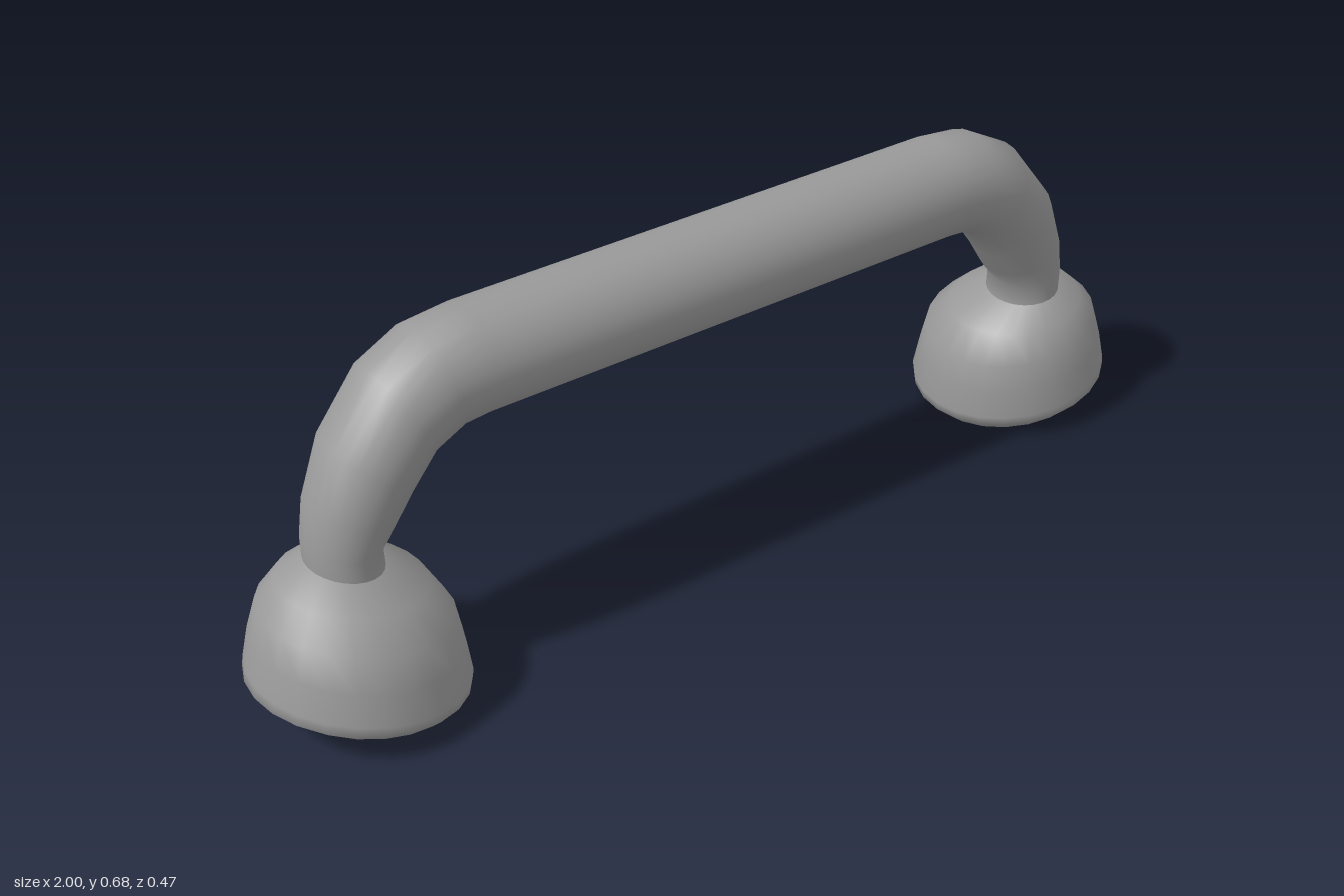
import * as THREE from 'three';

const SIDES = 24;

// Lofts elliptical rings: [outerX, outerY, innerX, innerY, halfDepth, zOffset]
function loft(sections) {
  const positions = [], index = [];
  for (const [xo, yo, xi, yi, depth, z] of sections) {
    for (let i = 0; i < SIDES; i++) {
      const a = (i / SIDES) * Math.PI * 2, c = Math.cos(a) / 2;
      positions.push((xo + xi) / 2 + (xo - xi) * c, (yo + yi) / 2 + (yo - yi) * c, z + depth * Math.sin(a));
    }
  }
  for (let j = 0; j < sections.length - 1; j++) {
    for (let i = 0; i < SIDES; i++) {
      const k = (i + 1) % SIDES;
      const p = j * SIDES + i, q = j * SIDES + k;
      index.push(p, q, p + SIDES, q, q + SIDES, p + SIDES);
    }
  }
  const geometry = new THREE.BufferGeometry();
  geometry.setAttribute('position', new THREE.Float32BufferAttribute(positions, 3));
  geometry.setIndex(index);
  geometry.computeVertexNormals();
  return geometry;
}

export function createModel() {
  const group = new THREE.Group();
  group.name = 'handle';
  const grey = new THREE.MeshStandardMaterial({ color: 0x999999, side: THREE.DoubleSide });
  grey.name = 'grey';

  const add = (parent, name, sections) => {
    const mesh = new THREE.Mesh(loft(sections), grey);
    mesh.name = name;
    parent.add(mesh);
  };

  // Bent grip bar: one end from the middle to the neck, mirrored for the other
  const bend = [
    [0.527, 0.679, 0.527, 0.479, 0.104, 0],
    [0.623, 0.668, 0.57, 0.476, 0.105, 0],
    [0.714, 0.62, 0.623, 0.449, 0.105, 0],
    [0.805, 0.508, 0.666, 0.39, 0.1, 0],
    [0.848, 0.4, 0.698, 0.337, 0.088, 0],
    [0.86, 0.325, 0.728, 0.3, 0.081, 0],
    [0.86, 0.284, 0.726, 0.26, 0.081, 0],
  ];
  const mirrored = bend.map(([xo, yo, xi, yi, d, z]) => [-xo, yo, -xi, yi, d, z]).reverse();
  add(group, 'gripBar', [...mirrored, ...bend]);

  // Tilted open cups; the second is the first turned half way round
  const cup = [
    [0.86, 0.284, 0.726, 0.26, 0.081, 0],
    [0.917, 0.261, 0.655, 0.216, 0.135, -0.012],
    [0.96, 0.224, 0.62, 0.152, 0.176, -0.026],
    [0.981, 0.168, 0.611, 0.094, 0.19, -0.03],
    [0.996, 0.112, 0.605, 0.035, 0.201, -0.034],
    [1.0, 0.092, 0.608, 0.017, 0.2, -0.034],
    [0.985, 0.077, 0.629, 0.0, 0.183, -0.034],
  ];
  const plug = [cup[0], [0.793, 0.272, 0.793, 0.272, 0, 0]];
  for (const side of ['left', 'right']) {
    const end = new THREE.Group();
    end.name = side + 'End';
    add(end, side + 'Cup', cup);
    add(end, side + 'NeckPlug', plug);
    if (side === 'right') end.rotation.y = Math.PI;
    group.add(end);
  }
  return group;
}
